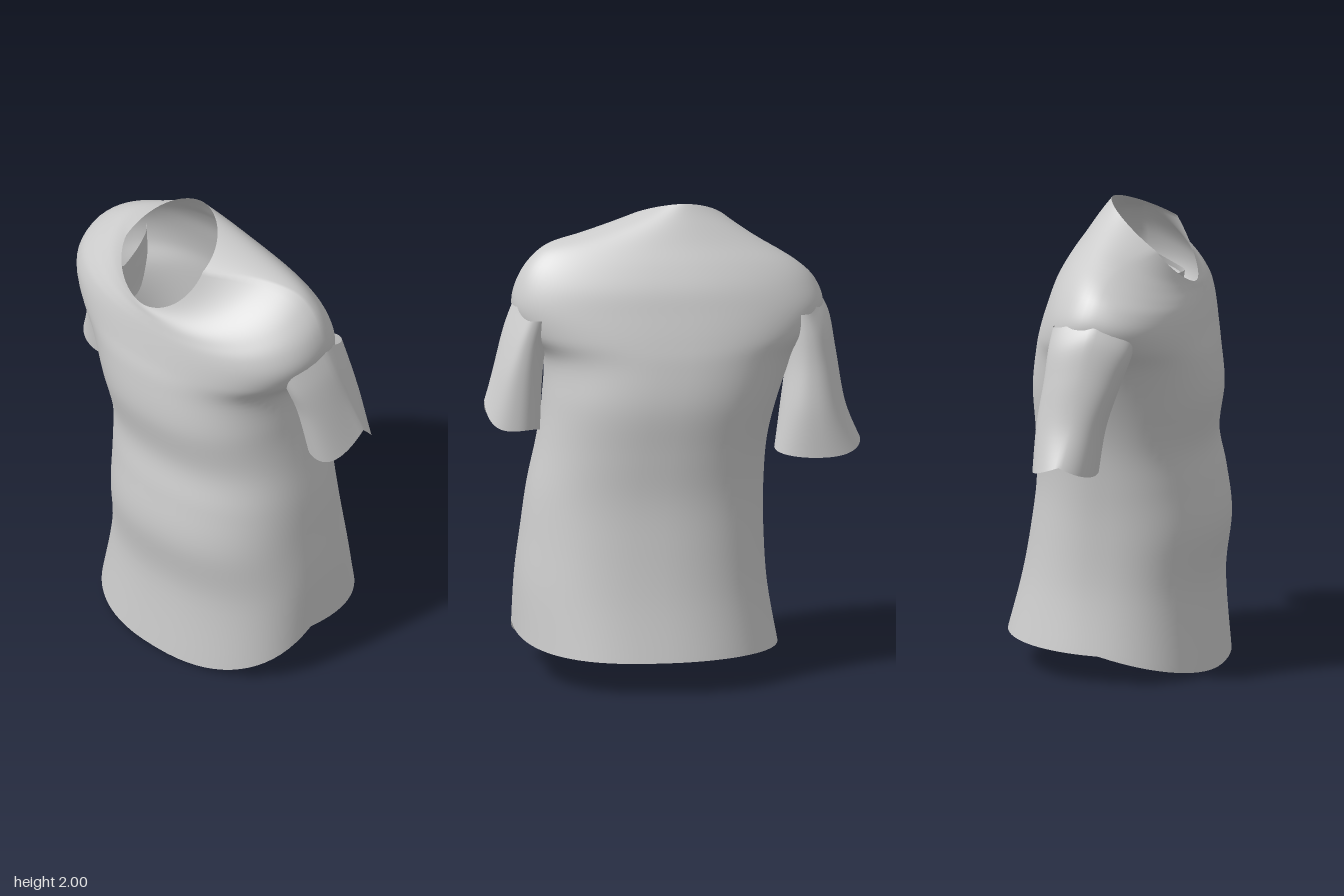
import * as THREE from 'three';

const SEGMENTS = 72;
const STEPS = 6; // rows between neighbouring key rings

const material = new THREE.MeshStandardMaterial({ color: 0xcccccc, side: THREE.DoubleSide });

// Smooth value of one column between key rings
function blend(rings, t, col) {
  const i = Math.min(Math.floor(t), rings.length - 2);
  const f = t - i;
  const at = k => rings[Math.max(0, Math.min(rings.length - 1, k))][col];
  const [a, b, c, d] = [at(i - 1), at(i), at(i + 1), at(i + 2)];
  return 0.5 * (2 * b + (c - a) * f + (2 * a - 5 * b + 4 * c - d) * f * f + (3 * b - a - 3 * c + d) * f * f * f);
}

// Open cloth tube through key rings, listed from the bottom up.
// Ring: right side x, z, y | left side x, z, y | front z, y | back z, y
// The outline goes from boxy (bottomPower) to rounder (topPower).
function clothTube(name, rings, bottomPower, topPower) {
  const rows = (rings.length - 1) * STEPS;
  const positions = [], index = [];
  for (let r = 0; r <= rows; r++) {
    const [xr, zr, yr, xl, zl, yl, zf, yf, zb, yb] =
      rings[0].map((_, col) => blend(rings, r / STEPS, col));
    const power = THREE.MathUtils.lerp(bottomPower, topPower, (r / rows) ** 5);
    for (let s = 0; s < SEGMENTS; s++) {
      const angle = (s / SEGMENTS) * Math.PI * 2;
      const u = Math.cos(angle), v = Math.sin(angle);
      const across = Math.sign(u) * Math.abs(u) ** power;
      const depth = Math.abs(v) ** power;
      const sideZ = THREE.MathUtils.lerp(zr, zl, (across + 1) / 2);
      const sideY = THREE.MathUtils.lerp(yr, yl, (across + 1) / 2);
      positions.push(
        (xl + xr) / 2 + (xl - xr) / 2 * across,
        THREE.MathUtils.lerp(sideY, v > 0 ? yf : yb, depth),
        THREE.MathUtils.lerp(sideZ, v > 0 ? zf : zb, depth)
      );
      if (r < rows) {
        const n = (s + 1) % SEGMENTS;
        const a = r * SEGMENTS + s, b = r * SEGMENTS + n;
        const c = a + SEGMENTS, d = b + SEGMENTS;
        index.push(a, c, b, b, c, d);
      }
    }
  }
  const geometry = new THREE.BufferGeometry();
  geometry.setAttribute('position', new THREE.Float32BufferAttribute(positions, 3));
  geometry.setIndex(index);
  geometry.computeVertexNormals();
  const mesh = new THREE.Mesh(geometry, material);
  mesh.name = name;
  return mesh;
}

// Body from the hem, out over the shoulders, to the tilted neck opening
const torsoRings = [
  [-0.45, 0.02, 0.12, 0.655, 0.08, 0.2, 0.45, 0.0, -0.455, 0.14],
  [-0.405, 0, 0.38, 0.645, 0.05, 0.42, 0.425, 0.34, -0.395, 0.38],
  [-0.39, 0, 0.62, 0.62, 0.03, 0.62, 0.455, 0.6, -0.355, 0.6],
  [-0.39, 0, 0.8, 0.595, 0.02, 0.8, 0.435, 0.8, -0.33, 0.8],
  [-0.405, 0, 1.0, 0.555, 0.02, 1.0, 0.41, 0.97, -0.33, 1.0],
  [-0.45, 0, 1.18, 0.53, 0.02, 1.18, 0.44, 1.17, -0.335, 1.2],
  [-0.52, 0.02, 1.36, 0.53, 0.02, 1.36, 0.43, 1.34, -0.31, 1.37],
  [-0.61, 0.03, 1.47, 0.62, 0.02, 1.48, 0.41, 1.44, -0.285, 1.47],
  [-0.645, 0.04, 1.56, 0.66, 0.01, 1.58, 0.395, 1.52, -0.25, 1.58],
  [-0.615, 0.06, 1.65, 0.64, 0.01, 1.69, 0.385, 1.57, -0.215, 1.68],
  [-0.555, 0.07, 1.715, 0.585, 0.01, 1.78, 0.378, 1.6, -0.165, 1.77],
  [-0.47, 0.1, 1.765, 0.5, 0.03, 1.84, 0.372, 1.625, -0.11, 1.85],
  [-0.38, 0.15, 1.795, 0.35, 0.1, 1.865, 0.367, 1.645, -0.055, 1.93],
  [-0.28, 0.23, 1.83, 0.17, 0.23, 1.88, 0.36, 1.66, 0, 2.0],
];

// Sleeves from the cuff up to a slanted armhole under the shoulder
const leftSleeveRings = [
  [0.55, -0.07, 1.06, 0.785, -0.1, 1.2, 0.06, 1.07, -0.21, 1.09],
  [0.54, -0.04, 1.25, 0.74, -0.06, 1.34, 0.11, 1.3, -0.19, 1.3],
  [0.525, -0.01, 1.37, 0.695, -0.02, 1.5, 0.155, 1.44, -0.175, 1.44],
  [0.5, 0, 1.46, 0.648, 0, 1.62, 0.18, 1.55, -0.165, 1.55],
];
const rightSleeveRings = [
  [-0.79, -0.08, 1.0, -0.43, -0.1, 0.97, 0.05, 0.94, -0.22, 0.95],
  [-0.73, -0.05, 1.15, -0.455, -0.06, 1.12, 0.08, 1.13, -0.21, 1.14],
  [-0.695, -0.01, 1.36, -0.48, -0.02, 1.28, 0.14, 1.31, -0.18, 1.33],
  [-0.668, 0.03, 1.52, -0.48, 0.02, 1.38, 0.19, 1.45, -0.165, 1.46],
  [-0.62, 0.05, 1.61, -0.48, 0.04, 1.46, 0.2, 1.54, -0.15, 1.55],
];

export function createModel() {
  const shirt = new THREE.Group();
  shirt.name = 'shirt';
  shirt.add(
    clothTube('torso', torsoRings, 0.85, 1.08),
    clothTube('leftSleeve', leftSleeveRings, 0.9, 0.9),
    clothTube('rightSleeve', rightSleeveRings, 0.9, 0.9)
  );
  return shirt;
}
